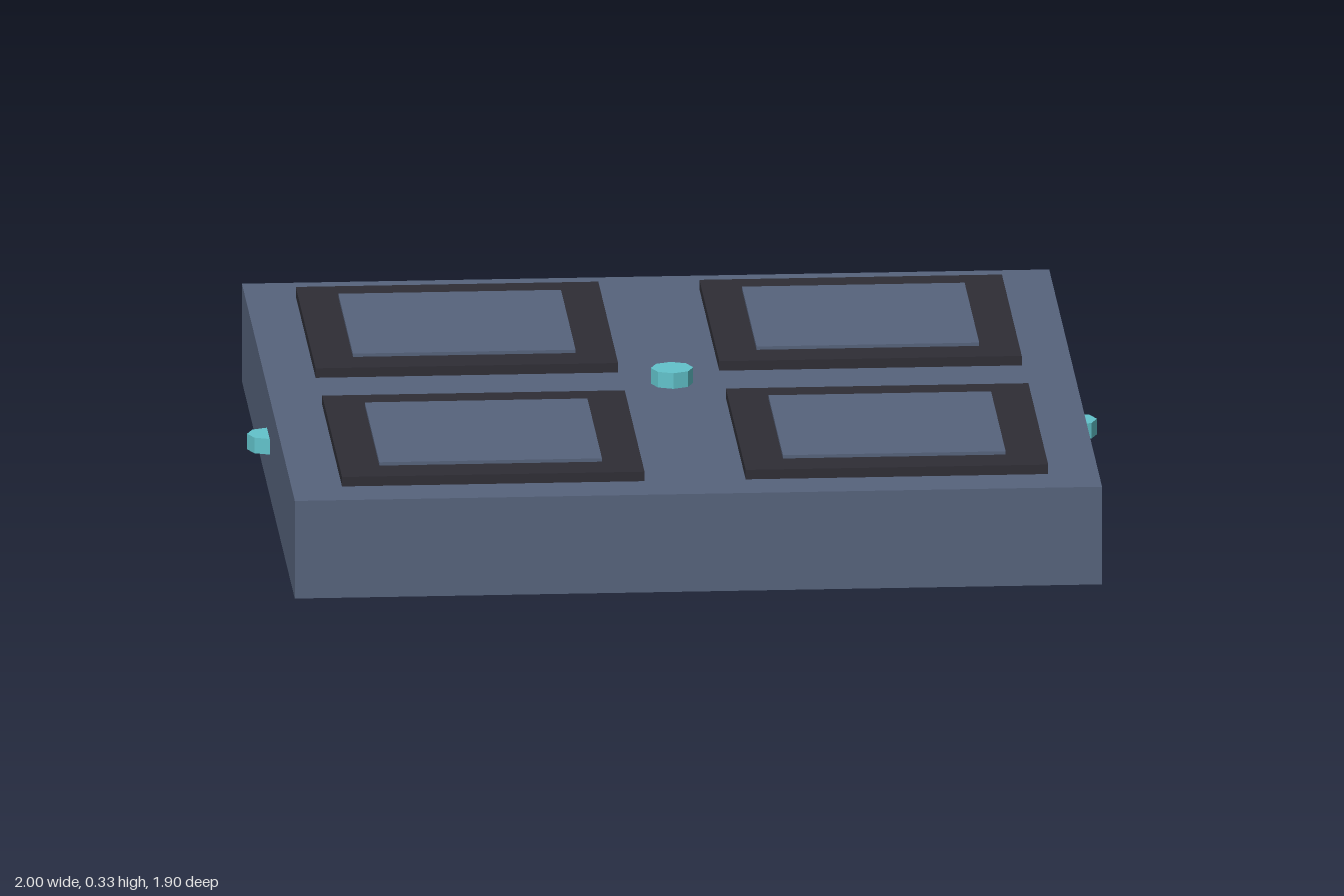
import * as THREE from 'three';

export function createModel() {
  const model = new THREE.Group();
  const material = (name, color) => {
    const m = new THREE.MeshStandardMaterial({ color });
    m.name = name;
    return m;
  };
  const slate = material('slate blue', 0x56637c);
  const dark = material('charcoal', 0x2e2d35);
  const teal = material('teal', 0x62c3cb);

  const add = (name, geometry, mat, x, y, z) => {
    const mesh = new THREE.Mesh(geometry, mat);
    mesh.name = name;
    mesh.position.set(x, y, z);
    model.add(mesh);
  };

  const midY = 0.165;

  // Square base slab
  add('slab', new THREE.BoxGeometry(1.9, 0.238, 1.9), slate, 0, midY, 0);

  // Four raised panels: a dark pad with a slightly proud inset plate
  const pad = new THREE.BoxGeometry(0.712, 0.024, 0.712);
  const plate = new THREE.BoxGeometry(0.524, 0.008, 0.524);
  for (const x of [-0.475, 0.475]) {
    for (const z of [-0.475, 0.475]) {
      add('panelFrame', pad, dark, x, 0.295, z);
      add('panelPlate', plate, slate, x, 0.311, z);
    }
  }

  // Octagonal connector studs on top, underneath and on both sides
  const stud = new THREE.CylinderGeometry(0.05, 0.05, 0.038, 8).toNonIndexed();
  stud.computeVertexNormals();
  add('topStud', stud, teal, 0, midY + 0.143, 0);
  add('bottomStud', stud, teal, 0, 0.019, 0);
  for (const side of [-1, 1]) add('sideStud', stud, teal, side * 0.95, midY, 0);

  // Crossed bars under the slab
  add('crossBarX', new THREE.BoxGeometry(1.52, 0.026, 0.028), teal, 0, 0.027, 0);
  add('crossBarZ', new THREE.BoxGeometry(0.028, 0.026, 1.52), teal, 0, 0.027, 0);

  return model;
}
